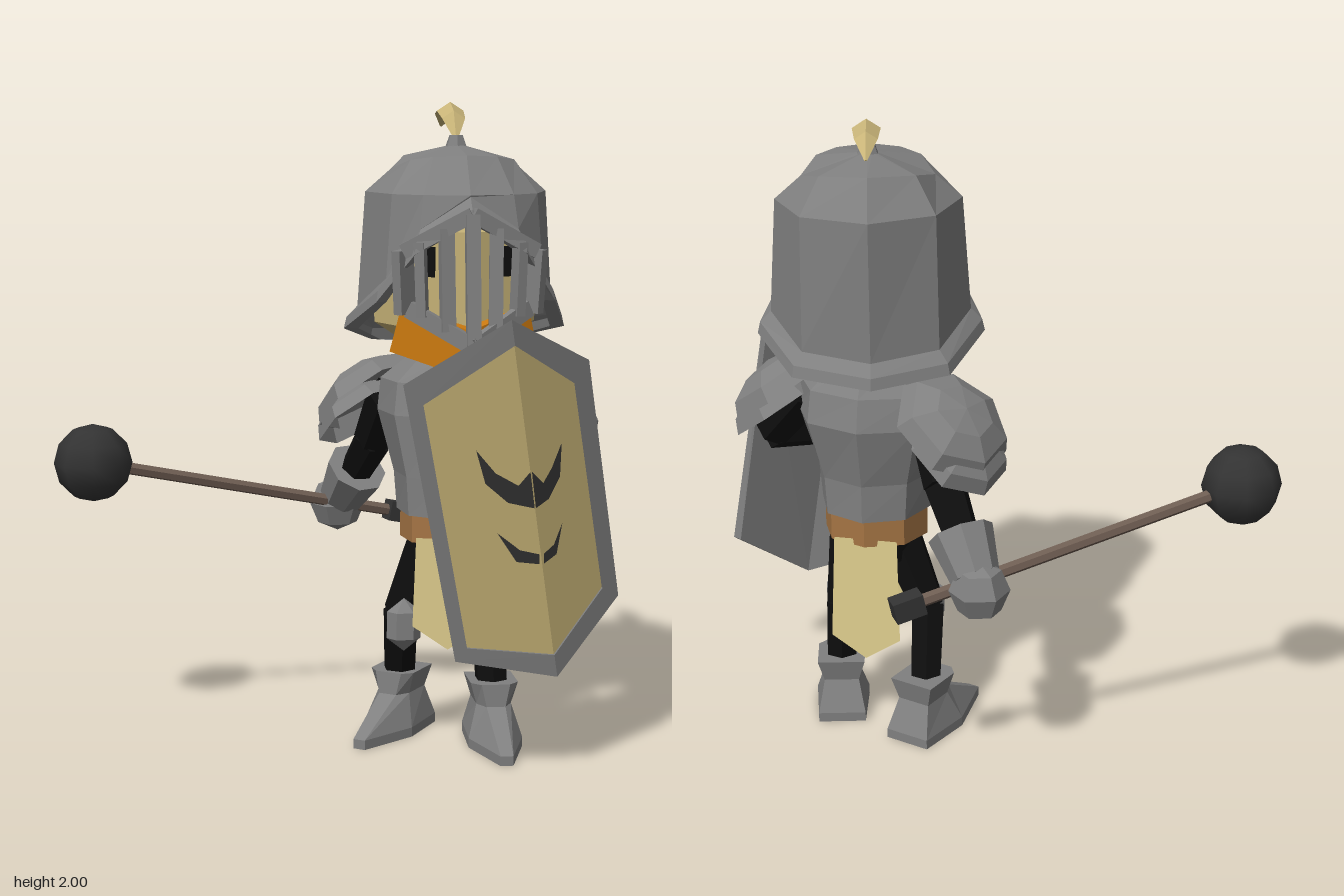
import * as THREE from 'three';

const V = (x, y, z) => new THREE.Vector3(x, y, z);
const mat = (name, color) =>
  new THREE.MeshStandardMaterial({ name, color, flatShading: true, side: THREE.DoubleSide });
const CX = 0.38; // body axis
const EIGHT = [0, 45, 90, 135, 180];
const RIM = [0, 29, 52, 90, 135, 180]; // helmet corners, from front to back

export function createModel() {
  const steel = mat('steel', 0x808080);
  const gold = mat('pale gold', 0xc8b478);
  const cream = mat('cream cloth', 0xdccb8c);
  const black = mat('black cloth', 0x0e0e0e);
  const iron = mat('dark iron', 0x333333);
  iron.flatShading = false;
  const leather = mat('leather', 0xa47444);
  const wood = mat('wood', 0x6e5d52);
  const orange = mat('orange', 0xcc7a10);

  const model = new THREE.Group();
  model.name = 'knight';

  const add = (name, geo, material, parent = model) => {
    const m = new THREE.Mesh(geo, material);
    m.name = name;
    parent.add(m);
    return m;
  };
  const group = (name) => {
    const g = new THREE.Group();
    g.name = name;
    model.add(g);
    return g;
  };

  // Skin a list of closed cross-sections, with optional end caps
  const loft = (rings, capStart = true, capEnd = true) => {
    const n = rings[0].length, pos = [], idx = [];
    rings.forEach((r) => r.forEach((p) => pos.push(p.x, p.y, p.z)));
    for (let k = 0; k < rings.length - 1; k++) {
      for (let i = 0; i < n; i++) {
        const a = k * n + i, b = k * n + (i + 1) % n;
        idx.push(a, b, b + n, a, b + n, a + n);
      }
    }
    const last = (rings.length - 1) * n;
    for (let i = 1; i < n - 1; i++) {
      if (capStart) idx.push(0, i + 1, i);
      if (capEnd) idx.push(last, last + i, last + i + 1);
    }
    const g = new THREE.BufferGeometry();
    g.setAttribute('position', new THREE.Float32BufferAttribute(pos, 3));
    g.setIndex(idx);
    g.computeVertexNormals();
    return g;
  };
  // Mirrored ring; y and radii may be lists, one value per corner from front to back
  const ring = (y, rx, rz = rx, cz = 0, corners = EIGHT) => {
    const n = corners.length * 2 - 2;
    return Array.from({ length: n }, (_, i) => {
      const s = Math.min(i, n - i), a = THREE.MathUtils.degToRad(corners[s]) * (i === s ? 1 : -1);
      const at = (v) => (Array.isArray(v) ? v[s] : v);
      return V(at(rx) * Math.sin(a), at(y), at(rz) * Math.cos(a) + cz);
    });
  };
  const limb = (name, a, b, r0, r1, material, parent, sides = 6) => {
    const d = b.clone().sub(a);
    const m = add(name, new THREE.CylinderGeometry(r1, r0, d.length(), sides), material, parent);
    m.position.copy(a).addScaledVector(d, 0.5);
    m.quaternion.setFromUnitVectors(V(0, 1, 0), d.normalize());
    return m;
  };
  const beam = (name, a, b, w, h, material, parent) => {
    const m = new THREE.Mesh(new THREE.BoxGeometry(w, h, a.distanceTo(b)), material);
    m.name = name;
    m.position.copy(a).lerp(b, 0.5);
    m.lookAt(b);
    parent.add(m);
    return m;
  };

  // Head under the helmet
  const head = group('head');
  head.position.x = CX;
  add('face', loft([ring(1.2, 0.08), ring(1.27, 0.16), ring(1.33, 0.25), ring(1.62, 0.26)]), gold, head);
  for (const s of [-1, 1]) {
    const eye = add('eye', new THREE.BoxGeometry(0.05, 0.09, 0.008), black, head);
    eye.position.set(s * 0.12, 1.53, 0.215);
    eye.rotation.y = s * Math.PI / 8;
    beam('jawGuard', V(0, 1.265, 0.26), V(s * 0.19, 1.325, 0.15), 0.08, 0.14, orange, head);
  }

  // Helmet with a flared rim that drops steeply beside the visor
  const helmet = group('helmet');
  helmet.position.x = CX;
  const rimY = [1.655, 1.56, 1.41, 1.31, 1.25, 1.235];
  const rimR = [0.32, 0.345, 0.345, 0.345, 0.33, 0.32];
  const rim = (lift, inset) => ring(rimY.map((y) => y + lift), rimR.map((r) => r - inset), undefined, 0, RIM);
  add('helmetShell', loft([
    rim(0, 0.045),
    rim(0, 0),
    rim(0.035, 0.008),
    rim(0.07, 0.042),
    ring(1.73, 0.28, 0.28, 0, RIM),
    ring([1.845, 1.84, 1.83, 1.8, 1.835, 1.845], 0.2, 0.2, 0, RIM),
    ring(1.87, 0.02, 0.02, 0, RIM),
  ], false, true), steel, helmet);

  // Barred visor
  const top = (x) => V(x, 1.675 - 0.55 * Math.abs(x), 0.315 - 0.22 * Math.abs(x));
  const low = (x) => V(x * 0.95, 1.29 + 0.55 * Math.abs(x), 0.36 - 0.5 * Math.abs(x));
  for (const x of [-0.15, -0.075, 0, 0.075, 0.15]) {
    beam('visorBar', top(x), low(x), 0.042, 0.03, steel, helmet);
  }
  for (const s of [-1, 1]) {
    beam('visorTop', top(0), top(s * 0.2), 0.03, 0.045, steel, helmet);
    beam('visorBottom', low(0), low(s * 0.19), 0.025, 0.05, steel, helmet);
    beam('visorCheek', V(s * 0.2, 1.57, 0.26), V(s * 0.19, 1.38, 0.25), 0.03, 0.07, steel, helmet);
  }

  // Plume
  add('plumeSocket', new THREE.CylinderGeometry(0.022, 0.04, 0.05, 6), steel, helmet).position.y = 1.875;
  const plume = [[1.9, -0.01, 0.012], [1.95, -0.05, 0.036], [1.972, -0.12, 0.042], [1.962, -0.21, 0.034], [1.922, -0.3, 0.004]];
  add('plume', loft(plume.map(([y, z, w]) =>
    [V(0, y + w * 0.65, z), V(w, y, z), V(0, y - w * 0.65, z + 0.01), V(-w, y, z)])), gold, helmet);

  // Torso, belt and tabard, turned with the raised shield
  const body = group('body');
  body.position.x = CX;
  body.rotation.y = -0.25;
  add('breastplate', loft([
    ring(0.74, 0.175, 0.18, 0.02), ring(0.86, 0.185, 0.18, 0.02), ring(1.05, 0.24, 0.2),
    ring(1.15, 0.23, 0.175), ring(1.24, 0.12, 0.11),
  ]), steel, body);
  add('belt', loft([ring(0.65, 0.165, 0.15, 0.01), ring(0.75, 0.165, 0.15, 0.01)]), leather, body);
  add('hips', loft([ring(0.57, 0.12, 0.09), ring(0.66, 0.14, 0.12)]), black, body);
  for (const [z, tilt, drop] of [[0.145, 0, 0.32], [-0.125, 0.06, 0.27]]) {
    const cloth = new THREE.Shape([[-0.1, 0.67], [-0.11, drop + 0.07], [0, drop], [0.11, drop + 0.07], [0.1, 0.67]]
      .map(([x, y]) => new THREE.Vector2(x, y - 0.67)));
    const m = add('tabard', new THREE.ShapeGeometry(cloth), cream, body);
    m.position.set(0, 0.67, z);
    m.rotation.x = tilt;
  }

  // Legs with knee guards and pointed boots: [hip, knee, ankle, toe-out angle]
  const legs = [
    ['left', V(0.46, 0.64, 0.02), V(0.49, 0.4, 0.025), V(0.5, 0.17, 0.05), 0],
    ['right', V(0.31, 0.64, 0), V(0.22, 0.4, -0.03), V(0.23, 0.17, -0.12), -0.6],
  ];
  const sole = [[0.02, 0.28], [0.085, 0.08], [0.075, -0.11], [-0.075, -0.11], [-0.085, 0.08], [-0.02, 0.28]];
  const neck = [[0.03, 0.085], [0.055, 0.04], [0.055, -0.07], [-0.055, -0.07], [-0.055, 0.04], [-0.03, 0.085]];
  const cuff = [[0.045, 0.08], [0.075, 0.05], [0.075, -0.085], [-0.075, -0.085], [-0.075, 0.05], [-0.045, 0.08]];
  const level = (pts, y) => pts.map(([x, z]) => V(x, y, z));
  for (const [side, hip, knee, ankle, turn] of legs) {
    const leg = group(side + 'Leg');
    limb('thigh', knee, hip, 0.058, 0.075, black, leg);
    limb('shin', ankle, knee, 0.052, 0.058, black, leg);
    const pad = add('kneeGuard', new THREE.SphereGeometry(1, 6, 3), steel, leg);
    pad.scale.set(0.062, 0.085, 0.045);
    pad.position.set(knee.x, 0.38, knee.z + 0.075);
    const boot = add('boot', loft([level(sole, 0), level(sole, 0.03), level(neck, 0.13), level(cuff, 0.2)]), steel, leg);
    boot.position.set(ankle.x, 0, ankle.z);
    boot.rotation.y = turn;
  }

  // Arms: layered shallow shoulder guards, sleeve, flared gauntlet
  const arms = [
    ['left', V(0.58, 1.1, 0.07), V(0.7, 0.93, 0.17), V(0.33, 0.84, 0.41), V(0.65, 1.09, 0.11), V(0.5, 0.75, 0.2)],
    ['right', V(0.2, 1.08, -0.15), V(0.165, 0.92, -0.29), V(0.07, 0.67, -0.495), V(0.145, 1.07, -0.2), V(-0.45, 0.75, -0.45)],
  ];
  for (const [side, shoulder, elbow, hand, guard, axis] of arms) {
    const arm = group(side + 'Arm');
    limb('upperSleeve', shoulder, elbow, 0.075, 0.065, black, arm);
    limb('lowerSleeve', elbow, hand, 0.065, 0.045, black, arm);
    limb('gauntletCuff', elbow.clone().lerp(hand, 0.45), elbow.clone().lerp(hand, 0.88), 0.1, 0.075, steel, arm, 8);
    const fist = add('gauntletFist', new THREE.SphereGeometry(0.092, 6, 4), steel, arm);
    fist.position.copy(hand);
    const turn = new THREE.Quaternion().setFromUnitVectors(V(0, 1, 0), axis.clone().normalize());
    for (const [r, drop] of [[0.19, 0], [0.165, 0.065]]) {
      const plate = add('shoulderGuard', new THREE.SphereGeometry(r, 7, 3, 0, Math.PI * 2, 0, Math.PI / 2), steel, arm);
      plate.position.copy(guard).add(V(axis.x * drop * 0.7, -drop, axis.z * drop * 0.7));
      plate.quaternion.copy(turn);
      plate.scale.y = 0.55;
    }
  }

  // Long mace held behind the body
  const mace = group('mace');
  const maceTop = V(-0.74, 0.87, -0.2), maceEnd = V(0.29, 0.63, -0.515);
  limb('maceShaft', maceTop, maceEnd, 0.02, 0.02, wood, mace);
  add('maceHead', new THREE.SphereGeometry(0.124, 8, 6), iron, mace).position.copy(maceTop);
  beam('macePommel', maceEnd.clone().lerp(maceTop, 0.05), maceEnd.clone().lerp(maceTop, -0.035), 0.06, 0.065, iron, mace);

  // Shield folded along its centre line; z follows from x and y
  const shield = group('shield');
  const shieldZ = (x, y) => {
    const d = x - (0.455 + 0.157 * (1.39 - y));
    return 0.555 - 0.0926 * (1.39 - y) + d * (d < 0 ? -0.12 : -0.8);
  };
  const onShield = (name, pts, offset, material) => {
    const g = new THREE.ShapeGeometry(new THREE.Shape(pts.map(([x, y]) => new THREE.Vector2(x, y))));
    const p = g.attributes.position;
    for (let i = 0; i < p.count; i++) p.setZ(i, shieldZ(p.getX(i), p.getY(i)) + offset);
    g.computeVertexNormals();
    return add(name, g, material, shield);
  };
  // Outlines run from the top corner down the left half and up the right half
  const outer = [[0.455, 1.39], [0.14, 1.21], [0.31, 0.376], [0.625, 0.31], [0.85, 0.51], [0.73, 1.245]];
  const inner = [[0.467, 1.315], [0.2, 1.15], [0.345, 0.415], [0.614, 0.378], [0.79, 0.545], [0.68, 1.18]];
  const back = outer.map(([x, y]) => [x + (0.54 - x) * 0.08, y + (0.85 - y) * 0.02]);
  const at = (pts, offset) => pts.map(([x, y]) => V(x, y, shieldZ(x, y) + offset));
  for (const half of [[0, 1, 2, 3], [3, 4, 5, 0]]) {
    const [o, n, b] = [outer, inner, back].map((pts) => half.map((i) => pts[i]));
    onShield('shieldFrame', [...o, ...n.slice().reverse()], 0, steel);
    onShield('shieldPanel', n, -0.012, gold);
    onShield('shieldBack', b, -0.055, steel);
  }
  add('shieldEdge', loft([at(back, -0.055), at(outer, 0)], false, false), steel, shield);
  add('shieldLip', loft([at(inner, 0), at(inner, -0.012)], false, false), steel, shield);

  // Plain painted wedges and chevron
  for (const pts of [
    [[0.36, 1.01], [0.42, 0.94], [0.49, 0.9], [0.525, 0.94], [0.541, 0.83], [0.46, 0.85], [0.39, 0.91]],
    [[0.635, 1.01], [0.6, 0.94], [0.57, 0.9], [0.53, 0.94], [0.545, 0.83], [0.59, 0.85], [0.63, 0.91]],
    [[0.43, 0.76], [0.5, 0.705], [0.56, 0.69], [0.56, 0.66], [0.49, 0.67]],
    [[0.64, 0.77], [0.61, 0.71], [0.575, 0.69], [0.575, 0.66], [0.62, 0.68]],
  ]) onShield('shieldMark', pts, -0.007, iron);

  // Arm strap on the back of the shield
  const strap = add('shieldStrap', new THREE.BoxGeometry(0.11, 0.2, 0.18), leather, shield);
  strap.position.set(0.475, 0.84, 0.385);

  return model;
}
